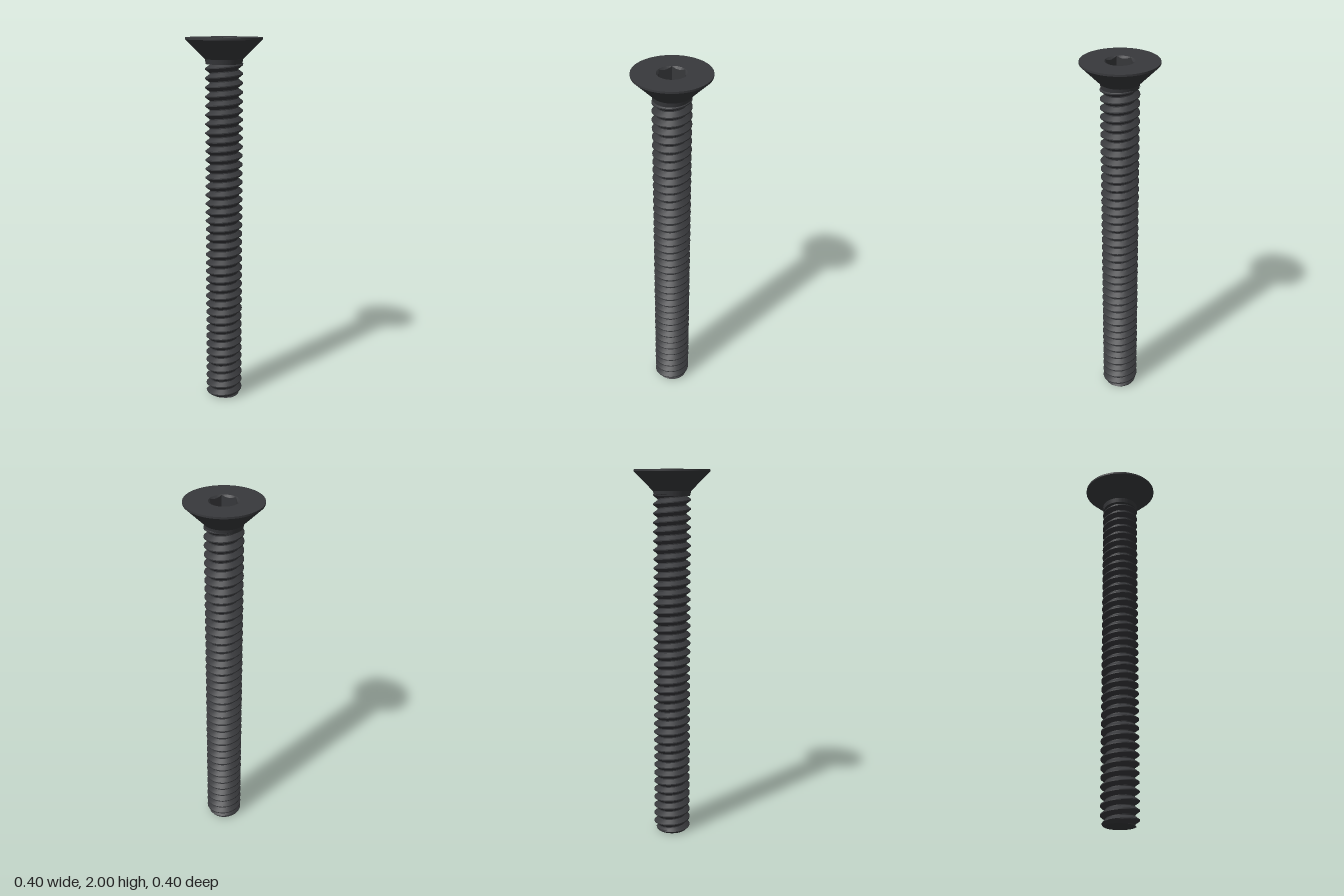
import * as THREE from 'three';
import { toCreasedNormals } from 'three/addons/utils/BufferGeometryUtils.js';

const SEG = 96;
const PITCH = 0.048, CREST = 0.1, ROOT = 0.076, SHANK_TOP = 1.875;
const material = new THREE.MeshStandardMaterial({ color: 0x38393c });

// Skin closed rings; each row is a function angle -> [radius, height], ordered along the outside.
function skin(name, rows, seg = SEG) {
  const pos = [], index = [], w = seg + 1;
  rows.forEach((row, j) => {
    for (let i = 0; i <= seg; i++) {
      const a = (i % seg) / seg * Math.PI * 2;
      const [r, y] = row(i / seg * Math.PI * 2);
      pos.push(r * Math.cos(a), y, -r * Math.sin(a));
      if (j && i < seg) {
        const p = (j - 1) * w + i, q = j * w + i;
        index.push(p, p + 1, q + 1, p, q + 1, q);
      }
    }
  });
  const g = new THREE.BufferGeometry();
  g.setAttribute('position', new THREE.Float32BufferAttribute(pos, 3));
  g.setIndex(index);
  const mesh = new THREE.Mesh(toCreasedNormals(g, 0.5), material);
  mesh.name = name;
  return mesh;
}

// Thread radius over one pitch: crest flat, flank, root flat, flank.
function threadRadius(u) {
  u -= Math.floor(u);
  if (u < 0.12) return CREST;
  if (u < 0.5) return THREE.MathUtils.mapLinear(u, 0.12, 0.5, CREST, ROOT);
  if (u < 0.62) return ROOT;
  return THREE.MathUtils.mapLinear(u, 0.62, 1, ROOT, CREST);
}

function createShank() {
  const phase = -0.14;
  const rows = [() => [0, 0]];
  // Rows follow the helix and are cut off flat at both ends.
  for (let turn = -2; turn * PITCH < SHANK_TOP + PITCH; turn++) {
    for (const u of [0, 0.12, 0.31, 0.5, 0.62, 0.81]) {
      rows.push(a => {
        const t = a / (Math.PI * 2) + phase;
        const y = THREE.MathUtils.clamp((turn + u + t) * PITCH, 0, SHANK_TOP);
        // Chamfered tip
        return [Math.min(threadRadius(y / PITCH - t), 0.082 + y), y];
      });
    }
  }
  return skin('threadedShank', rows, 48);
}

function createHead() {
  const profile = [[0, 1.865], [0.095, 1.865], [0.1, 1.89], [0.195, 1.985], [0.2, 1.99], [0.2, 2], [0.076, 2]];
  return skin('countersunkHead', profile.map(p => () => p));
}

function createSocket() {
  const apothem = 0.065, rim = 0.076, floor = 1.92;
  // Hexagon radius with corners on the x axis
  const hex = a => {
    const s = Math.PI / 3;
    return apothem / Math.cos(a - Math.floor(a / s + 1e-6) * s - s / 2);
  };
  return skin('hexSocket', [
    () => [rim, 2],
    a => [hex(a), 2 - (rim - hex(a))],
    a => [hex(a), floor],
    () => [0, floor],
  ]);
}

export function createModel() {
  const group = new THREE.Group();
  group.name = 'countersunkScrew';
  group.add(createShank(), createHead(), createSocket());
  return group;
}
